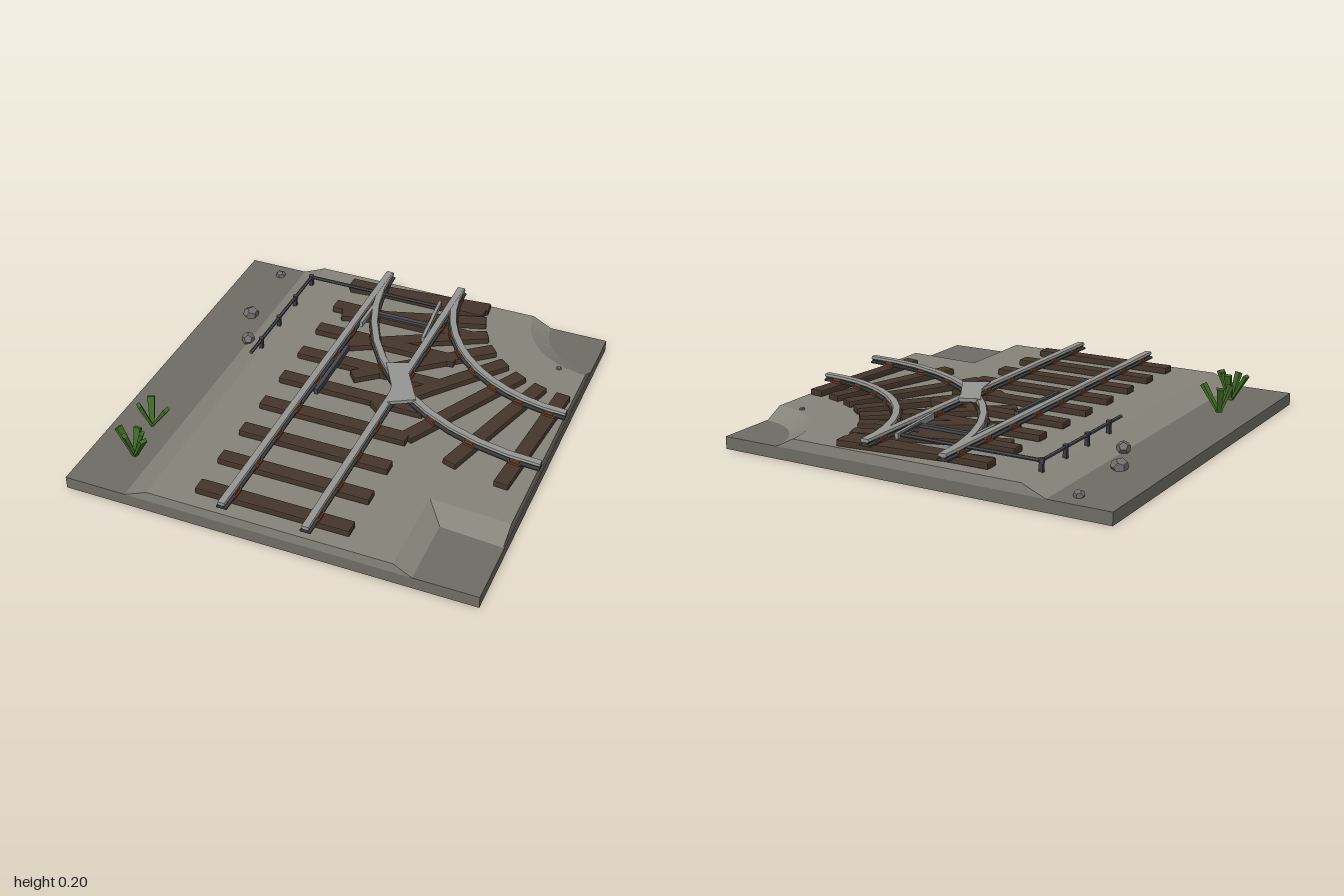
import * as THREE from 'three';
import { RoundedBoxGeometry } from 'three/addons/geometries/RoundedBoxGeometry.js';

const mat = (color) => new THREE.MeshStandardMaterial({ color, flatShading: true, roughness: 0.9 });
const M = {
  slab: mat(0x6f6d64), ballast: mat(0x86847a), wood: mat(0x45362b), rust: mat(0x7d4526),
  steel: mat(0x969694), dark: mat(0x3a3a3a), rod: mat(0x454950), rock: mat(0x706f6c), grass: mat(0x3f6a26),
};

function add(parent, name, geo, material, x = 0, y = 0, z = 0, ry = 0) {
  const m = new THREE.Mesh(geo, material);
  m.name = name;
  m.position.set(x, y, z);
  m.rotation.y = ry;
  parent.add(m);
  return m;
}
const box = (w, h, d) => new THREE.BoxGeometry(w, h, d);

// Rail cross-sections: dark foot with web, bright head
const foot = [[-0.026, 0.143], [0.026, 0.143], [0.026, 0.15], [0.01, 0.154], [0.01, 0.163], [-0.01, 0.163], [-0.01, 0.154], [-0.026, 0.15]];
const head = [[-0.015, 0.161], [0.015, 0.161], [0.019, 0.165], [0.016, 0.177], [-0.016, 0.177], [-0.019, 0.165]];
const sections = [['railFoot', foot, M.dark], ['railHead', head, M.steel]];
const toShape = (pts) => new THREE.Shape(pts.map(([x, y]) => new THREE.Vector2(x, y)));

function straightRail(parent, x) {
  for (const [name, pts, m] of sections) {
    add(parent, name, new THREE.ExtrudeGeometry(toShape(pts), { depth: 2, bevelEnabled: false }), m, x, 0, -1);
  }
}

// Quarter-circle rail about the parent's origin, with end caps
function curvedRail(parent, r) {
  for (const [name, pts, m] of sections) {
    const ring = [...pts, pts[0]].map(([x, y]) => new THREE.Vector2(r + x, y));
    add(parent, name, new THREE.LatheGeometry(ring, 12, -Math.PI / 2, Math.PI / 2), m);
    const cap = new THREE.ShapeGeometry(toShape(pts));
    add(parent, name + 'End', cap, m, -r, 0, 0, Math.PI);
    add(parent, name + 'End', cap, m, 0, 0, r, Math.PI / 2);
  }
}

// Raised bed: slopes from a wide lower outline to a narrower upper one
function ballastGeometry() {
  const E = 0.985;
  const outline = (left, corner, notchZ, r) => {
    const p = [[left, 1], [corner, 1], [corner, notchZ], [E, notchZ + 0.02]];
    for (let i = 0; i <= 10; i++) {
      const t = (i / 10) * Math.PI / 2;
      p.push([Math.min(E, 1 - r * Math.sin(t)), Math.max(-0.99, -1 + r * Math.cos(t))]);
    }
    p.push([left, -0.99]);
    return p;
  };
  const top = outline(-0.58, 0.6, 0.55, 0.4), low = outline(-0.7, 0.69, 0.66, 0.3);
  const v = [];
  const T = (i) => [top[i][0], 0.11, top[i][1]];
  const L = (i) => [low[i][0], 0.058, low[i][1]];
  for (const f of THREE.ShapeUtils.triangulateShape(top.map(([x, z]) => new THREE.Vector2(x, -z)), [])) {
    for (const i of f) v.push(...T(i));
  }
  for (let i = 0; i < top.length; i++) {
    const j = (i + 1) % top.length;
    v.push(...L(i), ...L(j), ...T(j), ...L(i), ...T(j), ...T(i));
  }
  const g = new THREE.BufferGeometry();
  g.setAttribute('position', new THREE.Float32BufferAttribute(v, 3));
  g.computeVertexNormals();
  return g;
}

// Bar between two points
function bar(parent, name, a, b, radius, material) {
  const A = new THREE.Vector3(...a), B = new THREE.Vector3(...b);
  const m = add(parent, name, new THREE.CylinderGeometry(radius, radius, A.distanceTo(B), 6), material);
  m.position.copy(A).lerp(B, 0.5);
  m.quaternion.setFromUnitVectors(new THREE.Vector3(0, 1, 0), B.sub(A).normalize());
}

export function createModel() {
  const model = new THREE.Group();
  model.name = 'railSwitchTile';

  // Ground
  add(model, 'groundSlab', box(1.99, 0.06, 1.99), M.slab, -0.005, 0.03, 0.005);
  add(model, 'ballastBed', ballastGeometry(), M.ballast);

  // Straight track
  const straight = new THREE.Group();
  straight.name = 'straightTrack';
  model.add(straight);
  const tie = new RoundedBoxGeometry(0.745, 0.034, 0.074, 1, 0.007);
  const plate = box(0.058, 0.02, 0.06);
  const clip = box(0.046, 0.018, 0.045);
  for (let i = 0; i < 9; i++) {
    const z = -0.884 + i * 0.221;
    add(straight, 'sleeper', tie, M.wood, -0.005, 0.125, z);
    for (const x of [-0.205, 0.195]) {
      add(straight, 'railPlate', plate, M.rust, x, 0.141, z);
      add(straight, 'railClip', clip, M.rust, x, 0.155, z);
    }
  }
  for (const x of [-0.205, 0.195]) straightRail(straight, x);

  // Branch track, turning about the back right corner
  const branch = new THREE.Group();
  branch.name = 'branchTrack';
  branch.position.set(1, -0.001, -1);
  model.add(branch);
  for (let i = 0; i < 8; i++) {
    const spoke = new THREE.Group();
    spoke.name = 'branchSleeper';
    spoke.rotation.y = -((i + 0.5) / 8) * Math.PI / 2;
    branch.add(spoke);
    add(spoke, 'sleeper', tie, M.wood, 0, 0.124, 1, Math.PI / 2);
    for (const r of [0.8, 1.2]) {
      add(spoke, 'railPlate', plate, M.rust, 0, 0.14, r, Math.PI / 2);
      add(spoke, 'railClip', clip, M.rust, 0, 0.154, r, Math.PI / 2);
    }
  }
  for (const r of [0.8, 1.2]) curvedRail(branch, r);

  // Crossing plate where the rails meet
  const frog = toShape([[0.08, 0.23], [0.18, 0.27], [0.215, 0.19], [0.32, 0.01], [0.2, -0.06], [0.17, 0.07]].reverse());
  const frogGeo = new THREE.ExtrudeGeometry(frog, { depth: 0.018, bevelEnabled: false }).rotateX(-Math.PI / 2);
  add(model, 'crossingPlate', frogGeo, M.steel, 0, 0.163, 0);

  // Guard rail and switch blades
  add(model, 'guardRail', box(0.02, 0.03, 0.39), M.rod, -0.155, 0.158, -0.105);
  add(model, 'switchBlade', box(0.016, 0.028, 0.25), M.steel, -0.17, 0.158, -0.64);
  add(model, 'switchBlade', box(0.016, 0.028, 0.34), M.steel, 0.15, 0.158, -0.68, 0.09);

  // Operating rods with joints and supports
  const y = 0.157;
  bar(model, 'sideRod', [-0.58, y, -0.08], [-0.58, y, -0.82], 0.009, M.rod);
  bar(model, 'crossRod', [-0.58, y, -0.82], [0.14, y, -0.82], 0.009, M.rod);
  bar(model, 'linkRod', [0.135, y, -0.83], [0.145, y, -0.64], 0.008, M.rod);
  add(model, 'stretcherBar', box(0.34, 0.014, 0.025), M.rod, -0.01, 0.153, -0.645);
  for (const z of [-0.82, -0.61, -0.41, -0.2]) {
    add(model, 'rodSupport', box(0.018, 0.06, 0.018), M.dark, -0.58, 0.135, z);
    add(model, 'rodJoint', new THREE.CylinderGeometry(0.013, 0.013, 0.024, 6), M.rod, -0.58, y, z);
  }

  // Loose stones
  for (const [x, sy, z, r, ry] of [[-0.8, 0.07, -0.9, 0.027, 0], [-0.785, 0.075, -0.5, 0.043, 1], [-0.695, 0.08, -0.28, 0.038, 2], [0.85, 0.112, -0.6, 0.014, 0.5]]) {
    add(model, 'stone', new THREE.DodecahedronGeometry(r), M.rock, x, sy, z, ry).scale.set(1, 0.85, 0.9);
  }

  // Grass tufts: blades widen upward and lean outward
  const bladeGeo = new THREE.CylinderGeometry(0.022, 0.012, 0.15, 4).rotateY(Math.PI / 4).scale(0.6, 1, 1.15).translate(0, 0.075, 0);
  const tufts = [[-0.82, 0.51, [2.0, -0.15, -2.4], 0.5], [-0.785, 0.74, [1.5, -0.45, -2.1, 3.0, 0.2], 0.42]];
  for (const [x, z, turns, lean] of tufts) {
    const tuft = new THREE.Group();
    tuft.name = 'grassTuft';
    tuft.position.set(x, 0.055, z);
    model.add(tuft);
    turns.forEach((a, i) => {
      const blade = add(tuft, 'grassBlade', bladeGeo, M.grass);
      blade.rotation.set(0, a, -lean - 0.12 * (i % 2 ? 1 : -1));
      blade.scale.y = i % 2 ? 1.08 : 0.98;
    });
  }
  return model;
}
